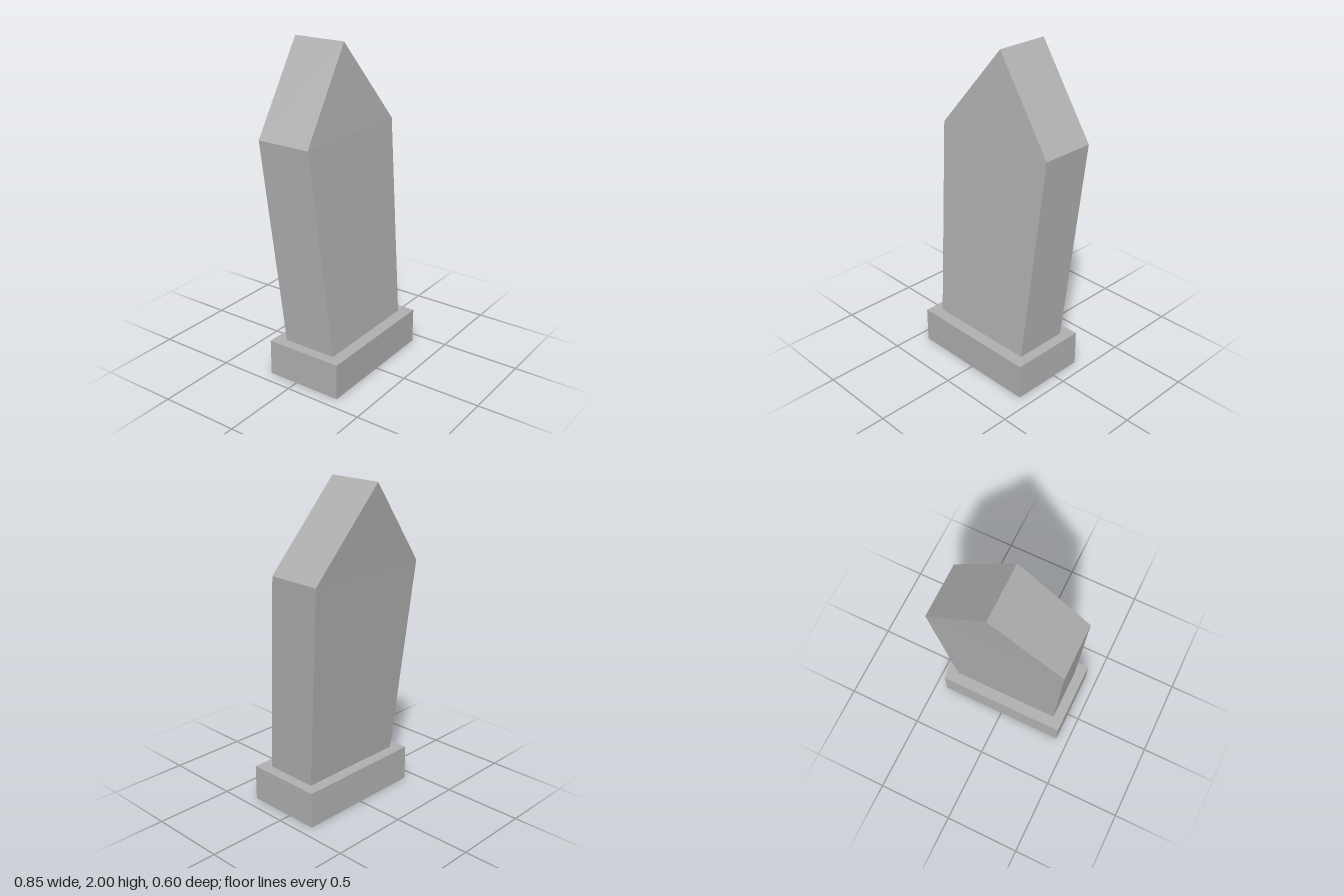
import * as THREE from 'three';

// Skins a stack of rectangular rings given as [halfWidth, y, zFront, zBack]
function loft(rings) {
  const corners = rings.map(([w, y, zf, zb]) => [[-w, y, zf], [w, y, zf], [w, y, zb], [-w, y, zb]]);
  const pos = [];
  for (let r = 0; r < rings.length - 1; r++) {
    for (let i = 0; i < 4; i++) {
      const j = (i + 1) % 4;
      const a = corners[r][i], b = corners[r][j], c = corners[r + 1][j], d = corners[r + 1][i];
      // Skip the triangle that collapses where a ring narrows to a ridge
      pos.push(...a, ...b, ...c);
      if (rings[r + 1][0] > 0 || i % 2 === 1) pos.push(...a, ...c, ...d);
    }
  }
  const geo = new THREE.BufferGeometry();
  geo.setAttribute('position', new THREE.Float32BufferAttribute(pos, 3));
  geo.computeVertexNormals();
  return geo;
}

export function createModel() {
  const model = new THREE.Group();
  model.name = 'leaningGravestone';
  const stone = new THREE.MeshStandardMaterial({ color: 0xb0b0b0, side: THREE.DoubleSide });
  stone.name = 'greyStone';

  const add = (name, rings) => {
    const mesh = new THREE.Mesh(loft(rings), stone);
    mesh.name = name;
    model.add(mesh);
  };

  // Plinth, open underneath, its top running in to the foot of the slab
  add('plinth', [
    [0.423, 0, 0.30, -0.193],
    [0.423, 0.225, 0.30, -0.193],
    [0.357, 0.225, 0.225, -0.12],
  ]);

  // Hollow slab leaning back, widening to the shoulders and closing in a ridge
  add('slab', [
    [0.357, 0.225, 0.225, -0.12],
    [0.418, 1.48, 0.105, -0.24],
    [0, 2, 0.045, -0.30],
  ]);

  // Narrow ledge just inside the slab's foot
  add('innerLedge', [
    [0.358, 0.245, 0.223, -0.122],
    [0.318, 0.245, 0.183, -0.082],
  ]);

  return model;
}
